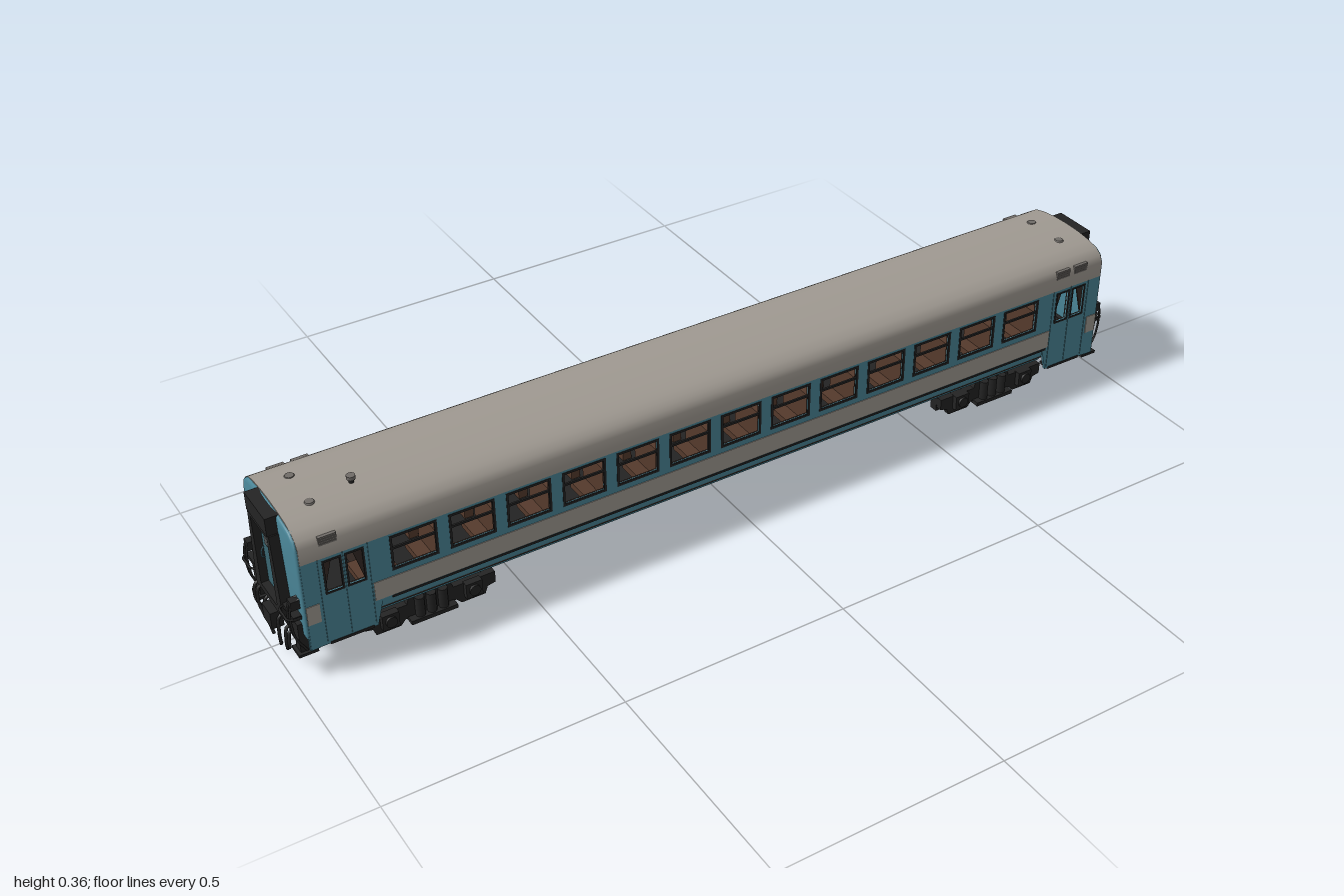
import * as THREE from 'three';
import { toCreasedNormals } from 'three/addons/utils/BufferGeometryUtils.js';

const material = (name, color) => {
  const m = new THREE.MeshStandardMaterial({ color });
  m.name = name;
  return m;
};
const teal = material('teal paint', 0x4a8597);
const doorTeal = material('dark teal', 0x3a6672);
const grey = material('warm grey', 0x9f9991);
const ventGrey = material('vent grey', 0x706c68);
const dark = material('underframe black', 0x232323);
const lining = material('interior brown', 0x342a25);
const seatBrown = material('seat brown', 0x553a2c);
const metal = material('pale metal', 0x9aa0a0);

function add(parent, name, geometry, mat, x = 0, y = 0, z = 0) {
  const mesh = new THREE.Mesh(geometry, mat);
  mesh.name = name;
  mesh.position.set(x, y, z);
  parent.add(mesh);
  return mesh;
}
// Box given by its extents on each axis
function box(parent, name, mat, x0, x1, y0, y1, z0, z1) {
  return add(parent, name, new THREE.BoxGeometry(x1 - x0, y1 - y0, z1 - z0), mat,
    (x0 + x1) / 2, (y0 + y1) / 2, (z0 + z1) / 2);
}
const poly = (pts, Type = THREE.Shape) => new Type(pts.map(p => new THREE.Vector2(...p)));
const rect = (x0, x1, y0, y1, Type) => poly([[x0, y0], [x1, y0], [x1, y1], [x0, y1]], Type);
const extrude = (shape, depth, extra = {}) =>
  new THREE.ExtrudeGeometry(shape, { depth, bevelEnabled: false, ...extra });
// Extrusion along +x of a shape drawn in the cross plane
const across = (shape, depth, extra) => extrude(shape, depth, extra).rotateY(Math.PI / 2);
function tube(parent, name, mat, pts, r) {
  const curve = new THREE.CatmullRomCurve3(pts.map(p => new THREE.Vector3(...p)));
  return add(parent, name, new THREE.TubeGeometry(curve, 12, r, 6), mat);
}
function cylinderZ(parent, name, mat, r, len, x, y, z) {
  return add(parent, name, new THREE.CylinderGeometry(r, r, len, 24).rotateX(Math.PI / 2), mat, x, y, z);
}

const W = 0.127, HALF = 0.962, EAVE = 0.27;
const PITCH = 0.1226, WIN = 0.046, SILL = 0.187, HEAD = 0.262;
const windowX = Array.from({ length: 13 }, (_, i) => (i - 6) * PITCH);
const doorPanes = [[-0.918, -0.883], [-0.873, -0.838], [0.838, 0.873], [0.883, 0.918]];

// Wall outline with openings; door panes can taper towards the door centre
function wallShape(points, taper) {
  const s = poly(points);
  for (const x of windowX) s.holes.push(rect(x - WIN, x + WIN, SILL, HEAD, THREE.Path));
  doorPanes.forEach(([a, b], i) => {
    const l = i % 2 ? 0 : taper, r = i % 2 ? taper : 0;
    s.holes.push(poly([[a, SILL], [b, SILL], [b - r, HEAD], [a + l, HEAD]], THREE.Path));
  });
  return s;
}

function makeSide() {
  const side = new THREE.Group();
  side.name = 'bodySide';
  const outline = [[-HALF, 0.068], [-0.825, 0.068], [-0.81, 0.125], [0.81, 0.125], [0.825, 0.068],
    [HALF, 0.068], [HALF, EAVE], [-HALF, EAVE]];
  add(side, 'sideWall', extrude(wallShape(outline, 0), 0.006), teal, 0, 0, W - 0.006);
  const inner = [[-0.95, 0.1], [0.95, 0.1], [0.95, EAVE], [-0.95, EAVE]];
  add(side, 'innerLining', extrude(wallShape(inner, 0.02), 0.003), lining, 0, 0, W - 0.0095);

  // Lower panel tucking inward
  const sill = poly([[-0.126, 0.126], [-0.123, 0.108], [-0.113, 0.09], [-0.105, 0.09], [-0.105, 0.126]]);
  add(side, 'lowerPanel', across(sill, 1.63), teal, -0.815, 0, 0);
  box(side, 'lowerTrim', dark, -0.79, 0.82, 0.121, 0.126, W - 0.004, W + 0.001);

  // Grey waist stripe, broken by the doors
  for (const [a, b] of [[-HALF, -0.935], [-0.825, 0.825], [0.935, HALF]])
    box(side, 'waistStripe', grey, a, b, 0.128, 0.171, W - 0.001, W + 0.0015);

  // Window frames and crossbars
  for (const x of windowX) {
    const f = rect(-WIN - 0.003, WIN + 0.003, SILL - 0.003, HEAD + 0.003);
    f.holes.push(rect(-WIN + 0.002, WIN - 0.002, SILL + 0.002, HEAD - 0.002, THREE.Path));
    add(side, 'windowFrame', extrude(f, 0.003), dark, x, 0, W - 0.002);
    box(side, 'windowBar', dark, x - WIN, x + WIN, 0.232, 0.237, W - 0.004, W);
  }

  // Double-leaf doors: seams, pane frames and steps
  for (const s of [-1, 1]) {
    for (const x of [0.828, 0.878, 0.928])
      box(side, 'doorSeam', doorTeal, s * x - 0.001, s * x + 0.001, 0.075, EAVE, W - 0.001, W + 0.001);
    box(side, 'doorStep', dark, s * 0.878 - 0.045, s * 0.878 + 0.045, 0.066, 0.072, 0.1, W + 0.001);
  }
  for (const [a, b] of doorPanes) {
    const f = rect(a - 0.002, b + 0.002, SILL - 0.002, HEAD + 0.002);
    f.holes.push(rect(a + 0.002, b - 0.002, SILL + 0.002, HEAD - 0.002, THREE.Path));
    add(side, 'doorPaneFrame', extrude(f, 0.002), dark, 0, 0, W - 0.001);
  }

  // Louvres above the doors
  for (const x of [-0.903, 0.85, 0.9])
    for (let i = 0; i < 4; i++)
      box(side, 'louvre', ventGrey, x - 0.018, x + 0.018, 0.3 + i * 0.005, 0.304 + i * 0.005, W - 0.006, W + 0.001);

  // Seats standing at the window pillars
  for (let i = 0; i < 14; i++) {
    const x = (i - 6.5) * PITCH;
    box(side, 'seatBack', seatBrown, x - 0.01, x + 0.01, 0.115, 0.225, 0.025, 0.112);
    box(side, 'seatCushion', seatBrown, x - 0.04, x + 0.04, 0.14, 0.155, 0.025, 0.112);
  }
  return side;
}

function makeEnd() {
  const end = new THREE.Group();
  end.name = 'carEnd';
  // End wall with rounded corners
  const wall = poly([[-0.119, 0.1], [0.119, 0.1], [0.119, 0.3], [0.112, 0.316], [0.098, 0.326],
    [0.05, 0.333], [0, 0.335], [-0.05, 0.333], [-0.098, 0.326], [-0.112, 0.316], [-0.119, 0.3]]);
  add(end, 'endWall', toCreasedNormals(across(wall, 0.004,
    { bevelEnabled: true, bevelSize: 0.007, bevelThickness: 0.007, bevelSegments: 3 }), 0.7), teal, 0.957);
  for (const s of [-1, 1]) box(end, 'cornerSkirt', teal, 0.945, 0.964, 0.066, 0.1, s * 0.123 - 0.003, s * 0.123 + 0.003);

  // Gangway frame around the end door
  const frame = poly([[-0.066, 0.112], [0.066, 0.112], [0.053, 0.3], [-0.053, 0.3]]);
  frame.holes.push(rect(-0.04, 0.04, 0.127, 0.288, THREE.Path));
  add(end, 'gangwayFrame', across(frame, 0.022), dark, 0.966);
  box(end, 'gangwayHood', dark, 0.95, 0.99, 0.3, 0.34, -0.05, 0.05);
  box(end, 'endDoor', doorTeal, 0.966, 0.972, 0.125, 0.29, -0.041, 0.041);
  box(end, 'doorWindow', dark, 0.97, 0.975, 0.232, 0.263, -0.019, 0.019);
  for (let i = 0; i < 3; i++)
    box(end, 'windowSlat', metal, 0.973, 0.976, 0.237 + i * 0.008, 0.242 + i * 0.008, -0.015, 0.015);
  box(end, 'doorHandle', dark, 0.971, 0.978, 0.2, 0.206, -0.025, -0.017);
  for (const s of [-1, 1])
    tube(end, 'doorGrip', teal, [[0.974, 0.19, s * 0.034], [0.98, 0.195, s * 0.03], [0.98, 0.21, s * 0.03], [0.974, 0.215, s * 0.034]], 0.0015);

  // Buffer beam, coupler and side fittings
  box(end, 'bufferBeam', dark, 0.94, 0.978, 0.085, 0.116, -0.09, 0.09);
  box(end, 'drawGear', dark, 0.88, 0.965, 0.06, 0.095, -0.045, 0.045);
  box(end, 'couplerShank', dark, 0.95, 0.985, 0.07, 0.09, -0.013, 0.013);
  box(end, 'couplerHead', dark, 0.975, 1, 0.062, 0.1, -0.024, 0.018);
  for (const s of [-1, 1]) {
    box(end, 'railBracket', dark, 0.962, 0.985, 0.14, 0.149, s * 0.09 - 0.026, s * 0.09 + 0.026);
    tube(end, 'safetyRail', dark, [[0.965, 0.145, s * 0.065], [0.993, 0.145, s * 0.068], [0.995, 0.145, s * 0.09],
      [0.993, 0.145, s * 0.112], [0.965, 0.145, s * 0.115]], 0.0025);
    for (const z of [0.1, 0.112])
      tube(end, 'grabPost', dark, [[0.965, 0.186, s * z], [0.985, 0.175, s * z], [0.985, 0.1, s * z], [0.965, 0.06, s * z]], 0.0025);
    box(end, 'markerLamp', dark, 0.966, 0.986, 0.165, 0.185, s * 0.106 - 0.009, s * 0.106 + 0.009);
    box(end, 'stepHanger', dark, 0.945, 0.978, 0.055, 0.125, s * 0.1 - 0.011, s * 0.1 + 0.011);
    box(end, 'footStep', dark, 0.945, 0.985, 0.052, 0.058, s * 0.1 - 0.018, s * 0.1 + 0.018);
    for (const [z, low] of [[0.033, 0.015], [0.07, 0.03], [0.085, 0.045]])
      tube(end, 'brakeHose', dark, [[0.965, 0.1, s * z], [0.985, 0.095, s * z], [0.99, 0.06, s * z], [0.985, low, s * (z - 0.015)]], 0.0035);
  }
  box(end, 'bulkhead', lining, 0.808, 0.814, 0.11, EAVE, -0.118, 0.118);

  // Small roof vents
  for (const [x, z] of [[0.9, 0.047], [0.9, -0.047]])
    add(end, 'roofVent', new THREE.CylinderGeometry(0.009, 0.011, 0.004, 12), ventGrey, x, 0.343, z);
  return end;
}

function makeBogie() {
  const bogie = new THREE.Group();
  bogie.name = 'bogie';
  const half = [[0.025, 0.024], [0.055, 0.024], [0.066, 0.012], [0.118, 0.012], [0.124, 0.028],
    [0.142, 0.032], [0.142, 0.058], [0.05, 0.058], [0.042, 0.085]];
  const frame = poly([...half, ...half.map(([x, y]) => [-x, y]).reverse()]);
  for (const s of [-1, 1]) {
    add(bogie, 'bogieFrame', extrude(frame, 0.014), dark, 0, 0, s * 0.084 - 0.007);
    for (const x of [-0.025, 0, 0.025])
      add(bogie, 'bolsterSpring', new THREE.CylinderGeometry(0.01, 0.01, 0.045, 10), dark, x, 0.05, s * 0.096);
    box(bogie, 'springPlank', dark, -0.05, 0.05, 0.018, 0.027, s * 0.096 - 0.012, s * 0.096 + 0.012);
    for (const x of [-0.09, 0.09]) {
      box(bogie, 'axleBox', dark, x - 0.018, x + 0.018, 0.025, 0.06, s * 0.095 - 0.008, s * 0.095 + 0.008);
      cylinderZ(bogie, 'axleCap', dark, 0.012, 0.012, x, 0.043, s * 0.102);
      cylinderZ(bogie, 'wheelTread', dark, 0.042, 0.014, x, 0.045, s * 0.064);
      cylinderZ(bogie, 'wheelFlange', dark, 0.045, 0.004, x, 0.045, s * 0.056);
      box(bogie, 'brakeBlock', dark, x * 1.5 - 0.006, x * 1.5 + 0.006, 0.02, 0.055, s * 0.064 - 0.01, s * 0.064 + 0.01);
    }
  }
  for (const x of [-0.09, 0.09]) cylinderZ(bogie, 'axle', dark, 0.008, 0.17, x, 0.045, 0);
  box(bogie, 'bolster', dark, -0.04, 0.04, 0.045, 0.092, -0.085, 0.085);
  for (const x of [-0.136, 0.136]) box(bogie, 'endBeam', dark, x - 0.006, x + 0.006, 0.038, 0.056, -0.085, 0.085);
  return bogie;
}

export function createModel() {
  const car = new THREE.Group();
  car.name = 'passengerCar';

  // Roof, smooth along its arc
  const arc = [[W, EAVE], [W, 0.306], [0.12, 0.32], [0.103, 0.332], [0.078, 0.339], [0.04, 0.3435]];
  const roof = poly([...arc, [0, 0.345], ...arc.map(([z, y]) => [-z, y]).reverse()]);
  add(car, 'roof', toCreasedNormals(across(roof, HALF * 2), 0.75), grey, -HALF);
  box(car, 'ceiling', lining, -0.95, 0.95, EAVE - 0.003, EAVE - 0.0005, -0.118, 0.118);
  box(car, 'floor', dark, -0.955, 0.955, 0.092, 0.115, -0.112, 0.112);

  // Matching sides, ends and bogies, turned half round
  for (const turn of [0, Math.PI]) {
    for (const part of [makeSide(), makeEnd()]) {
      part.rotation.y = turn;
      car.add(part);
    }
    const bogie = makeBogie();
    bogie.position.x = turn ? -0.7 : 0.7;
    bogie.rotation.y = turn;
    car.add(bogie);
  }

  // Roof chimney
  add(car, 'chimney', new THREE.CylinderGeometry(0.005, 0.005, 0.014, 10), dark, -0.81, 0.347, 0.034);
  add(car, 'chimneyCap', new THREE.CylinderGeometry(0.009, 0.009, 0.008, 12), ventGrey, -0.81, 0.356, 0.034);

  // Underfloor equipment
  box(car, 'centreSill', dark, -0.9, 0.9, 0.078, 0.094, -0.02, 0.02);
  for (const z of [-0.075, 0.075]) tube(car, 'brakePipe', dark, [[-0.43, 0.083, z], [0, 0.083, z], [0.28, 0.083, z]], 0.003);
  box(car, 'generator', dark, -0.165, -0.08, 0.055, 0.094, -0.04, 0.05);
  for (const [x, w, y] of [[-0.27, 0.02, 0.07], [-0.2, 0.015, 0.075], [0.07, 0.012, 0.065], [0.105, 0.02, 0.065],
    [0.145, 0.014, 0.068], [0.235, 0.012, 0.075], [0.41, 0.012, 0.08]])
    box(car, 'underfloorBox', dark, x - w, x + w, y, 0.094, -0.07, 0.07);
  return car;
}
